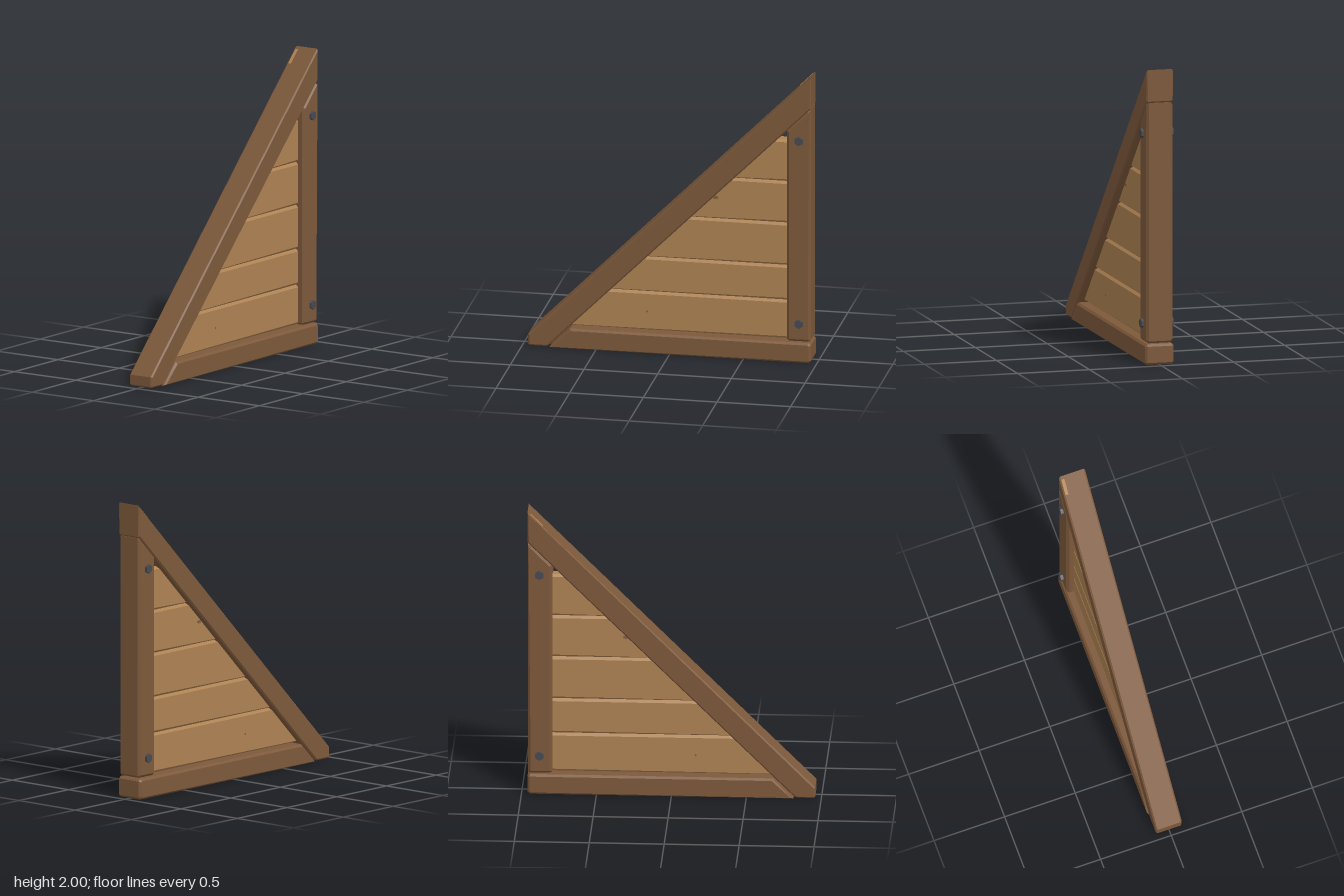
import * as THREE from 'three';

const flat = (name, color) => {
  const m = new THREE.MeshStandardMaterial({ color });
  m.name = name;
  return m;
};

export function createModel() {
  const model = new THREE.Group();
  model.name = 'triangularWoodenWall';
  const frameWood = flat('darkFrameWood', 0x7d593b);
  const plankWood = flat('lightPlankWood', 0xad8253);
  const knotWood = flat('knotWood', 0x80603c);
  const iron = flat('boltIron', 0x484a52);

  // Chamfered board cut from an outline, centred on z = 0
  function board(name, points, half, bevel, material) {
    const shape = new THREE.Shape(points.map(([x, y]) => new THREE.Vector2(x, y)));
    const geo = new THREE.ExtrudeGeometry(shape, {
      depth: 2 * (half - bevel), bevelEnabled: true, bevelThickness: bevel,
      bevelSize: bevel, bevelOffset: -bevel, bevelSegments: 1,
    });
    geo.translate(0, 0, bevel - half);
    const mesh = new THREE.Mesh(geo, material);
    mesh.name = name;
    model.add(mesh);
  }

  // Frame: sloping beam, base beam and upright post
  board('slopingBeam', [[-0.96, 0.015], [-0.95, 0.005], [-0.835, 0.005], [-0.82, 0.012],
    [0.96, 1.785], [0.96, 2], [-0.96, 0.08]], 0.092, 0.01, frameWood);
  board('baseBeam', [[-0.815, 0], [0.945, 0], [0.96, 0.015], [0.96, 0.125],
    [0.945, 0.14], [-0.675, 0.14]], 0.1, 0.014, frameWood);
  board('uprightPost', [[0.795, 0.16], [0.81, 0.147], [0.945, 0.147], [0.957, 0.16],
    [0.957, 1.775], [0.945, 1.775], [0.795, 1.625]], 0.092, 0.017, frameWood);

  // Horizontal planks, their left ends cut along the slope
  const seams = [0.148, 0.418, 0.662, 0.96, 1.252, 1.545];
  for (let i = 0; i < 5; i++) {
    const [low, high] = [seams[i], seams[i + 1]];
    board('plank' + (i + 1), [[low - 0.87, low], [0.83, low], [0.83, high], [high - 0.87, high]],
      0.045, 0.017, plankWood);
  }

  // Knots on both faces of the planks
  for (const side of [1, -1]) {
    for (const [x, y, rx, ry] of [[0.305, 1.11, 0.02, 0.012], [-0.16, 0.28, 0.006, 0.008]]) {
      const knot = new THREE.Mesh(new THREE.CylinderGeometry(1, 1, 0.004, 8), knotWood);
      knot.name = 'knot';
      knot.rotation.x = Math.PI / 2;
      knot.scale.set(rx, 1, ry);
      knot.position.set(x, y, side * 0.0455);
      model.add(knot);
    }

    // Hexagonal bolts with a washer, through the post
    for (const y of [0.275, 1.56]) {
      const bolt = new THREE.Group();
      bolt.name = 'bolt';
      const washer = new THREE.Mesh(new THREE.CylinderGeometry(0.025, 0.025, 0.014, 6), iron);
      washer.name = 'boltShank';
      washer.position.y = 0.095;
      const head = new THREE.Mesh(new THREE.CylinderGeometry(0.031, 0.031, 0.018, 6), iron);
      head.name = 'boltHead';
      head.position.y = 0.104;
      for (const part of [washer, head]) {
        part.material = iron;
        part.geometry = part.geometry.toNonIndexed();
        part.geometry.computeVertexNormals();
        bolt.add(part);
      }
      bolt.rotation.x = side * Math.PI / 2;
      bolt.position.set(0.88, y, 0);
      model.add(bolt);
    }
  }

  // Worn chip on the rear top corner of the sloping beam
  const chip = new THREE.Mesh(new THREE.BoxGeometry(0.12, 0.004, 0.022), plankWood);
  chip.name = 'wornChip';
  chip.position.set(0.9, 1.94, -0.07);
  chip.rotation.z = Math.PI / 4;
  model.add(chip);

  return model;
}
